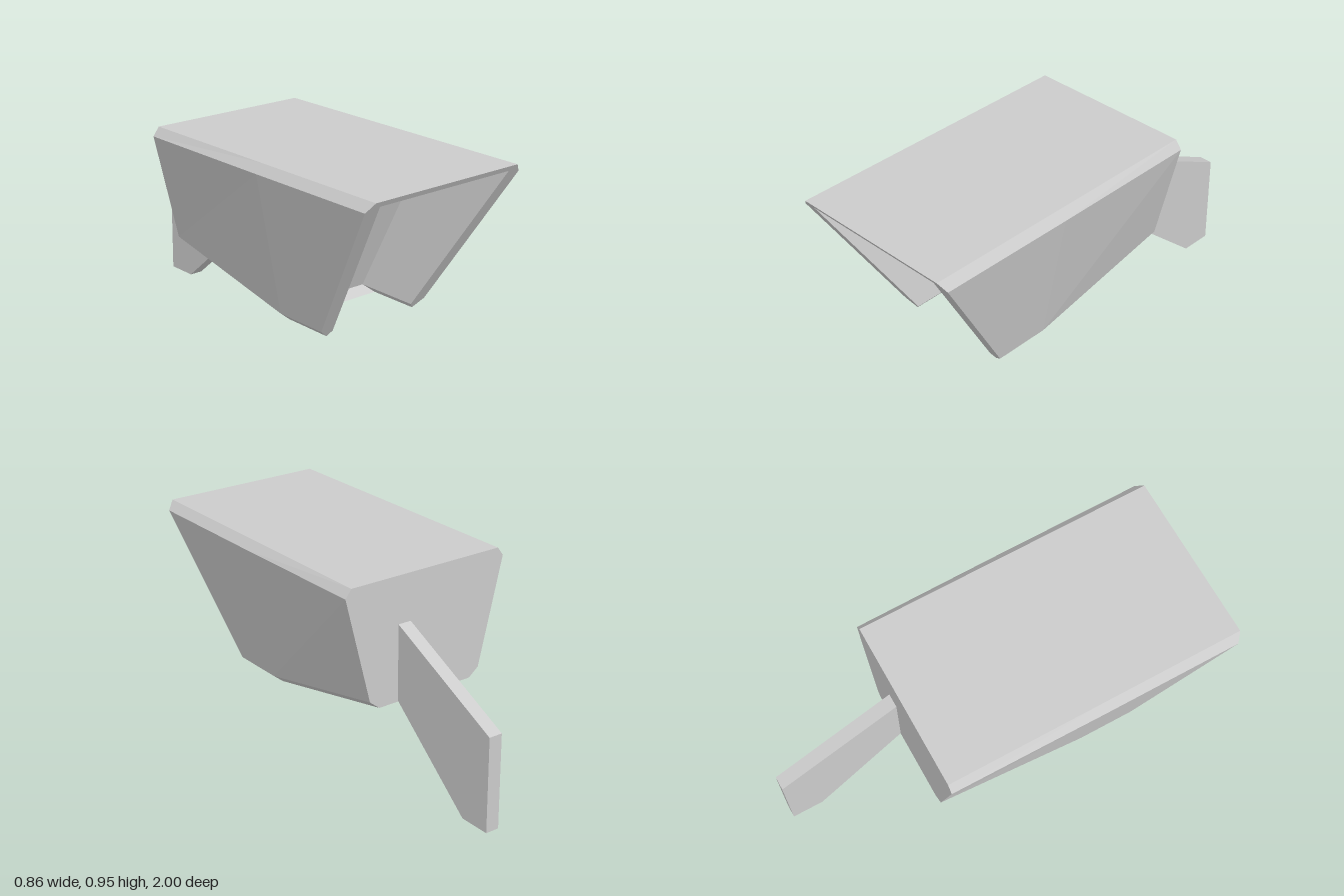
import * as THREE from 'three';

const material = () => new THREE.MeshStandardMaterial({
  color: 0xcccccc, flatShading: true, side: THREE.DoubleSide,
});

// Turns a list of convex polygons into a flat-shaded mesh
function polyMesh(name, polygons) {
  const pos = [];
  for (const p of polygons) {
    for (let i = 1; i < p.length - 1; i++) {
      const tri = [p[0], p[i], p[i + 1]];
      const area = new THREE.Triangle(...tri.map(v => new THREE.Vector3(...v))).getArea();
      if (area > 1e-7) pos.push(...tri.flat());
    }
  }
  const geo = new THREE.BufferGeometry();
  geo.setAttribute('position', new THREE.Float32BufferAttribute(pos, 3));
  geo.computeVertexNormals();
  const mesh = new THREE.Mesh(geo, material());
  mesh.name = name;
  return mesh;
}

// Eight-point ring from its right half, listed bottom to top
const ring = half => [...half, ...[...half].reverse().map(([x, y, z]) => [-x, y, z])];

// Quads between two rings; an open loft leaves out the bottom span
function loft(a, b, open) {
  const quads = [];
  for (let i = 0; i < (open ? 7 : 8); i++) {
    const j = (i + 1) % 8;
    quads.push([a[i], b[i], b[j], a[j]]);
  }
  return quads;
}

export function createModel() {
  const group = new THREE.Group();

  // Cross-sections: raked front, underside crease, back
  const rake = y => 1 - (0.95 - y) * 0.603;
  const profile = [[0.25, 0.22], [0.3, 0.26], [0.43, 0.91], [0.395, 0.95]];
  const front = ring(profile.map(([x, y]) => [x, y, rake(y)]));
  const middle = ring(profile.map(([x, y]) => [x, y, 0.32]));
  const back = ring(profile.map(([x, y], i) => [i === 2 ? 0.425 : x, i < 2 ? y + 0.15 : y, -0.41]));

  // Inner opening at the rim and at the recessed panel
  const opening = [[0.228, 0.245], [0.228, 0.245], [0.36, 0.925], [0.36, 0.925]];
  const rim = ring(opening.map(([x, y]) => [x, y, rake(y)]));
  const recess = ring(opening.map(([x, y]) => [x, y, 0.264 + (y - 0.245) * 0.36]));

  // Outer shell, with the underside open ahead of the crease
  group.add(polyMesh('housing', [
    ...loft(front, middle, true),
    ...loft(middle, back, false),
    [...back].reverse(),
  ]));

  // Front rim, inner hood walls and the lower edges of the opening
  group.add(polyMesh('frontRim', loft(rim, front, true)));
  group.add(polyMesh('hoodInterior', loft(recess, rim, true)));
  group.add(polyMesh('lowerEdges', [
    [middle[7], middle[0], recess[0], recess[7]],
    [front[0], rim[0], recess[0], middle[0]],
    [front[7], middle[7], recess[7], rim[7]],
  ]));

  // Tilted panel at the back of the hood
  group.add(polyMesh('recessedPanel', [[recess[0], recess[2], recess[4], recess[6]]]));

  // Flat mounting arm at the back, set off to one side
  const arm = new THREE.Shape([[0.41, 0.375], [0.85, 0], [1, 0], [1, 0.44], [0.41, 0.73]]
    .map(([x, y]) => new THREE.Vector2(x, y)));
  const bracket = new THREE.Mesh(
    new THREE.ExtrudeGeometry(arm, { depth: 0.065, bevelEnabled: false }), material());
  bracket.name = 'mountingArm';
  bracket.rotation.y = Math.PI / 2;
  bracket.position.x = 0.085;
  group.add(bracket);

  return group;
}
